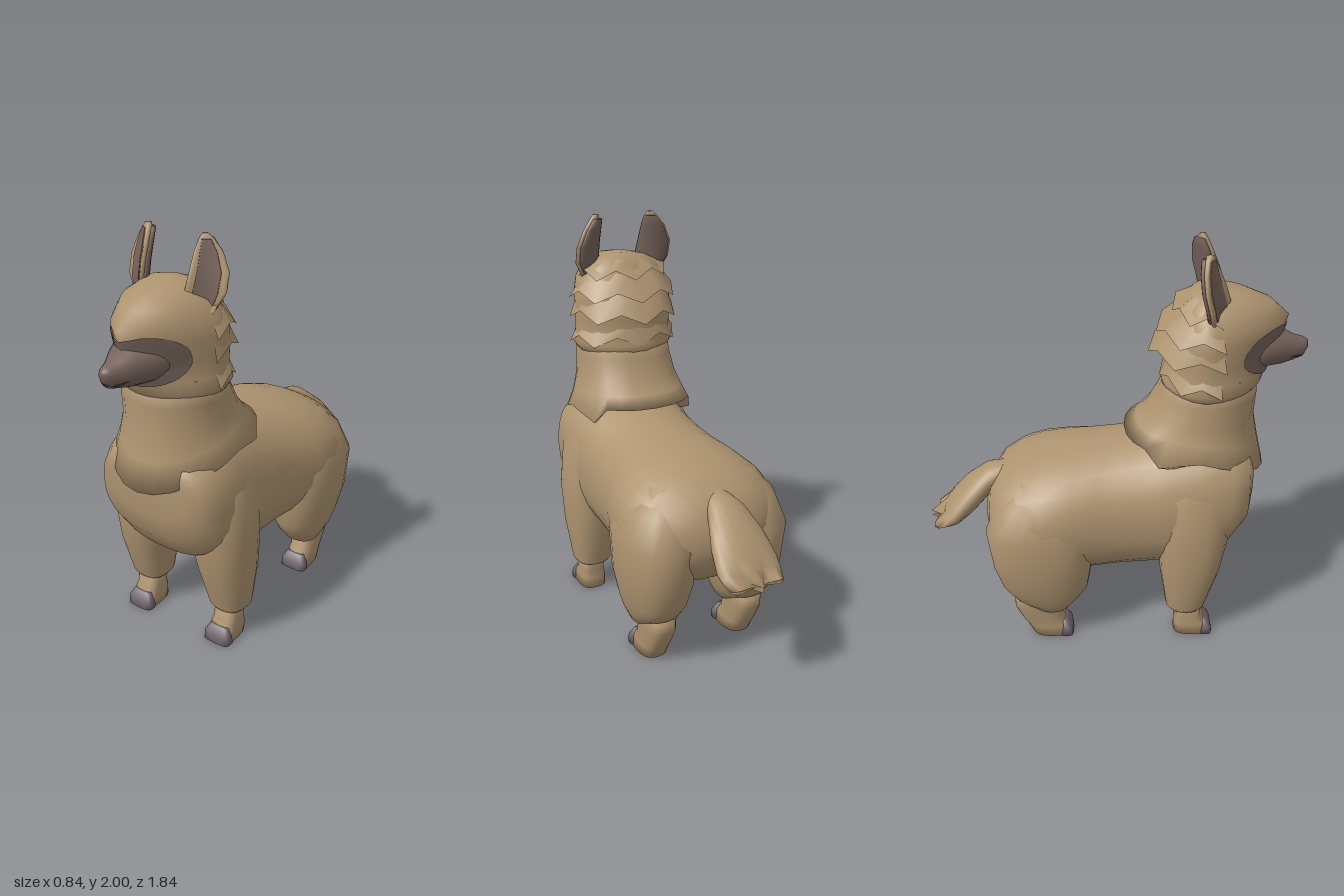
import * as THREE from 'three';

const mat = (name, color) => {
  const m = new THREE.MeshStandardMaterial({ color, side: THREE.DoubleSide });
  m.name = name;
  return m;
};

// Superellipse ring: centre x, half width, then two (y, z) ends of its other axis.
function ring([xc, w, ya, za, yb, zb], p = 2.2, n = 24, pBack = p) {
  return Array.from({ length: n }, (_, i) => {
    const a = (i / n) * Math.PI * 2, c = Math.cos(a), s = Math.sin(a);
    const e = 2 / (c >= 0 ? p : pBack);
    const k = Math.sign(c) * Math.abs(c) ** e;
    return new THREE.Vector3(xc + w * Math.sign(s) * Math.abs(s) ** e,
      (ya + yb) / 2 + (ya - yb) / 2 * k, (za + zb) / 2 + (za - zb) / 2 * k);
  });
}
const flat = (y, xc, w, zf, zb) => [xc, w, y, zf, y, zb];
const upright = (z, w, yt, yb) => [0, w, yt, z, yb, z];

// Skin a list of rings; closed solids get end caps and outward faces.
function skin(rings, closed = true) {
  const n = rings[0].length, pts = rings.flat(), idx = [];
  for (let r = 0; r < rings.length - 1; r++) {
    for (let i = 0; i < (closed ? n : n - 1); i++) {
      const a = r * n + i, b = r * n + (i + 1) % n;
      idx.push(a, b, a + n, b, b + n, a + n);
    }
  }
  if (closed) {
    [0, rings.length - 1].forEach((r, end) => {
      const mid = new THREE.Vector3();
      rings[r].forEach((v) => mid.addScaledVector(v, 1 / n));
      const c = pts.push(mid) - 1;
      for (let i = 0; i < n; i++) {
        const a = r * n + i, b = r * n + (i + 1) % n;
        idx.push(c, ...(end ? [a, b] : [b, a]));
      }
    });
    let vol = 0;
    for (let i = 0; i < idx.length; i += 3) {
      vol += pts[idx[i]].dot(new THREE.Vector3().crossVectors(pts[idx[i + 1]], pts[idx[i + 2]]));
    }
    if (vol < 0) idx.reverse();
  }
  const g = new THREE.BufferGeometry().setFromPoints(pts);
  g.setIndex(idx);
  g.computeVertexNormals();
  return g;
}

// Head rows: y, half width, front z, back z, front roundness; widest at HEAD_Z
const HEAD_Z = 0.45;
const HEAD = [
  [1.32, 0.23, 0.67, 0.25, 2], [1.37, 0.262, 0.715, 0.24, 1.9], [1.42, 0.25, 0.735, 0.27, 1.65],
  [1.5, 0.25, 0.775, 0.26, 1.45], [1.6, 0.255, 0.80, 0.27, 1.45], [1.67, 0.235, 0.82, 0.30, 1.5],
  [1.74, 0.195, 0.74, 0.33, 1.75], [1.785, 0.13, 0.63, 0.37, 2], [1.805, 0.05, 0.52, 0.42, 2],
];
function headFront(x, y) {
  const i = Math.max(0, HEAD.findIndex((r) => r[0] > y) - 1);
  const t = (y - HEAD[i][0]) / (HEAD[i + 1][0] - HEAD[i][0]);
  const [, w, zf, , p] = HEAD[i].map((v, k) => v + (HEAD[i + 1][k] - v) * t);
  return HEAD_Z + (zf - HEAD_Z) * (1 - Math.min(1, Math.abs(x) / w) ** p) ** (1 / p);
}

export function createModel() {
  const model = new THREE.Group();
  const wool = mat('tan wool', 0xae9470);
  const skinTone = mat('brown skin', 0x75625a);
  const hoofTone = mat('grey hoof', 0x736a70);
  const mouthTone = mat('dark mouth', 0x43363a);
  const add = (name, geo, m) => {
    const mesh = new THREE.Mesh(geo, m);
    mesh.name = name;
    model.add(mesh);
  };

  // Body with broad chest and rump
  add('body', skin([
    [0.69, 0.2, 1.0, 0.74], [0.665, 0.28, 1.05, 0.62], [0.58, 0.332, 1.1, 0.5],
    [0.42, 0.35, 1.12, 0.40], [0.22, 0.335, 1.07, 0.35], [0.05, 0.34, 1.035, 0.345],
    [-0.08, 0.355, 1.018, 0.335], [-0.2, 0.39, 1.0, 0.345], [-0.33, 0.405, 0.975, 0.37],
    [-0.44, 0.38, 0.935, 0.41], [-0.53, 0.325, 0.885, 0.45], [-0.59, 0.225, 0.8, 0.52],
    [-0.615, 0.11, 0.71, 0.59],
  ].map((r) => ring(upright(...r), r[0] > 0.3 ? 2.5 : 2.2, 28))), wool);

  // Neck with a flared collar: half width, front z, back z, then y at front, side and back
  add('neckWool', skin([
    [0.235, 0.69, 0.27, 1.42, 1.42, 1.42], [0.24, 0.70, 0.235, 1.3, 1.3, 1.3],
    [0.25, 0.695, 0.18, 1.18, 1.2, 1.2], [0.272, 0.725, 0.13, 1.04, 1.12, 1.14],
    [0.31, 0.76, 0.07, 0.9, 1.05, 1.09], [0.26, 0.66, 0.2, 0.96, 1.03, 1.06],
  ].map(([w, zf, zb, yf, ys, yb], row) => ring(flat(0, 0, w, zf, zb), 2, 24, 2.3).map((v, i) => {
    const c = Math.cos((i / 24) * Math.PI * 2);
    v.y = ys + c * (yf - yb) / 2 + c * c * ((yf + yb) / 2 - ys);
    if (row >= 4) v.y -= { 4: 0.075, 5: 0.035 }[Math.abs(i - 12)] ?? 0; // notched hem
    return v;
  }))), wool);

  // Head
  add('head', skin(HEAD.map(([y, w, zf, zb, p]) => {
    const half = (zf - zb) / 2, mid = (zf + zb) / 2;
    return ring(flat(y, 0, w, zf, zb), p, 48, 2).map((v) => {
      const k = (v.z - mid) / half;
      v.z = HEAD_Z + k * (k > 0 ? zf - HEAD_Z : HEAD_Z - zb);
      return v;
    });
  })), wool);

  // Shaggy layers on the back of the head: top y, w, back z, then hem y, w, back z
  [
    [1.785, 0.13, 0.37, 1.69, 0.235, 0.285], [1.73, 0.2, 0.33, 1.59, 0.275, 0.215],
    [1.64, 0.235, 0.28, 1.49, 0.272, 0.18], [1.47, 0.235, 0.27, 1.365, 0.282, 0.235],
  ].forEach(([yt, wt, zt, yh, wh, zh]) => {
    const top = [], hem = [];
    for (let i = 0; i <= 8; i++) {
      const a = Math.PI * (0.42 + 1.16 * i / 8), s = Math.sin(a), c = Math.cos(a);
      const tip = i % 2 === 0, f = tip ? 1 : 0.96;
      top.push(new THREE.Vector3(wt * 0.97 * s, yt, HEAD_Z + (HEAD_Z - zt) * c));
      hem.push(new THREE.Vector3(wh * f * s, yh + (tip ? 0 : 0.05), HEAD_Z + (HEAD_Z - zh) * f * c));
    }
    add('headTuft', skin([top, hem], false), wool);
  });

  // Bare face lying on the head surface
  const face = [];
  for (let r = 0; r <= 10; r++) {
    face.push(Array.from({ length: 41 }, (_, i) => {
      const a = -(i / 40) * Math.PI * 2, c = Math.cos(a), s = Math.sin(a), k = r / 10;
      const x = 0.2 * k * Math.sign(c) * Math.abs(c) ** 0.8;
      let y = 1.533 + 0.125 * k * Math.sign(s) * Math.abs(s) ** 0.8;
      if (s > 0) y -= 0.03 * k * Math.exp(-((x / 0.06) ** 2));
      return new THREE.Vector3(x, y, headFront(x, y) + 0.009);
    }));
  }
  add('face', skin(face, false), skinTone);

  // Muzzle, nose and mouth
  add('muzzle', skin([
    [0.62, 0.165, 1.62, 1.43], [0.72, 0.13, 1.615, 1.425], [0.80, 0.087, 1.595, 1.43],
    [0.85, 0.06, 1.565, 1.443], [0.9, 0.038, 1.553, 1.46], [0.92, 0.022, 1.54, 1.5],
  ].map((r) => ring(upright(...r)))), skinTone);
  add('mouth', new THREE.TubeGeometry(new THREE.CatmullRomCurve3([
    [-0.06, 1.48, 0.835], [-0.038, 1.475, 0.885], [0, 1.478, 0.91],
    [0.038, 1.475, 0.885], [0.06, 1.48, 0.835],
  ].map((p) => new THREE.Vector3(...p))), 16, 0.004, 5), mouthTone);

  // Tail ending in three points
  const tail = [
    [0, 0.05, 0.90, -0.48, 0.80, -0.5], [0, 0.1, 0.87, -0.61, 0.72, -0.6],
    [0, 0.14, 0.79, -0.715, 0.62, -0.69], [0, 0.155, 0.70, -0.795, 0.565, -0.76],
    [0, 0.15, 0.645, -0.835, 0.56, -0.80],
  ].map((r) => ring(r, 2));
  tail.push(ring([0, 0.14, 0.59, -0.835, 0.565, -0.835], 2).map((v) => {
    v.z -= 0.08 * (0.5 + 0.5 * Math.cos(Math.PI * 2 * v.x / 0.11)) * (1 - 3 * Math.abs(v.x));
    return v;
  }));
  add('tail', skin(tail), wool);

  // Ear rows: y, sideways shift, half width, lean
  const EAR = [[1.7, -0.02, 0.055, 0.012], [1.77, -0.012, 0.088, 0.008], [1.85, 0.005, 0.084, -0.008],
    [1.93, 0.004, 0.06, -0.025], [1.98, -0.004, 0.032, -0.035], [2.0, -0.008, 0.012, -0.038]];
  const ear = (side, rows, scale, front, back, p) => skin(rows.map(([y, uc, hw, lean]) =>
    ring([uc, hw * scale, 0, front, 0, back], p, 16).map((v) => {
      const u = v.x, n = v.z + lean + 3 * (u - uc) ** 2;
      return new THREE.Vector3(side * (0.175 + 0.81 * u + 0.58 * n), y, 0.45 - 0.58 * u + 0.81 * n);
    })));

  for (const side of [1, -1]) {
    const limb = (name, rows, m, p = 2.3) =>
      add(name, skin(rows.map(([y, x, ...r]) => ring(flat(y, x * side, ...r), p, 20))), m);

    add('earRim', ear(side, EAR, 1, 0.016, -0.014, 3), wool);
    add('earBack', ear(side, EAR.slice(0, 5), 0.95, 0, -0.034, 2.4), skinTone);
    add('earInside', ear(side, EAR.slice(0, 5), 0.6, 0.02, 0.012, 4), skinTone);

    // Front leg
    limb('frontLeg', [
      [1.02, 0.17, 0.08, 0.48, 0.32], [0.85, 0.21, 0.142, 0.58, 0.24], [0.6, 0.22, 0.155, 0.585, 0.235],
      [0.4, 0.235, 0.132, 0.55, 0.25], [0.18, 0.24, 0.1, 0.485, 0.285], [0.16, 0.24, 0.085, 0.47, 0.3],
    ], wool);
    limb('frontShin', [
      [0.2, 0.24, 0.06, 0.46, 0.33], [0.1, 0.24, 0.064, 0.47, 0.34],
      [0.06, 0.24, 0.069, 0.505, 0.33], [0, 0.24, 0.07, 0.523, 0.33],
    ], wool, 3);

    // Hind leg
    limb('thigh', [
      [0.9, 0.17, 0.1, -0.2, -0.44], [0.8, 0.21, 0.16, -0.13, -0.54],
      [0.65, 0.24, 0.178, -0.08, -0.61], [0.45, 0.24, 0.168, -0.09, -0.585],
      [0.32, 0.24, 0.14, -0.11, -0.545], [0.25, 0.24, 0.122, -0.15, -0.49], [0.18, 0.24, 0.09, -0.21, -0.38],
    ], wool);
    limb('hindShin', [
      [0.28, 0.24, 0.07, -0.28, -0.44], [0.23, 0.24, 0.077, -0.28, -0.488], [0.18, 0.24, 0.076, -0.27, -0.49],
      [0.1, 0.24, 0.069, -0.25, -0.455], [0.06, 0.24, 0.069, -0.215, -0.43], [0, 0.24, 0.07, -0.197, -0.40],
    ], wool, 2.6);

    // Hooves
    for (const z of [0.53, -0.19]) {
      limb('hoof', [
        [0, 0.24, 0.073, z, z - 0.075], [0.045, 0.24, 0.07, z - 0.008, z - 0.06],
        [0.08, 0.24, 0.05, z - 0.03, z - 0.06],
      ], hoofTone, 3.5);
    }
  }
  return model;
}
